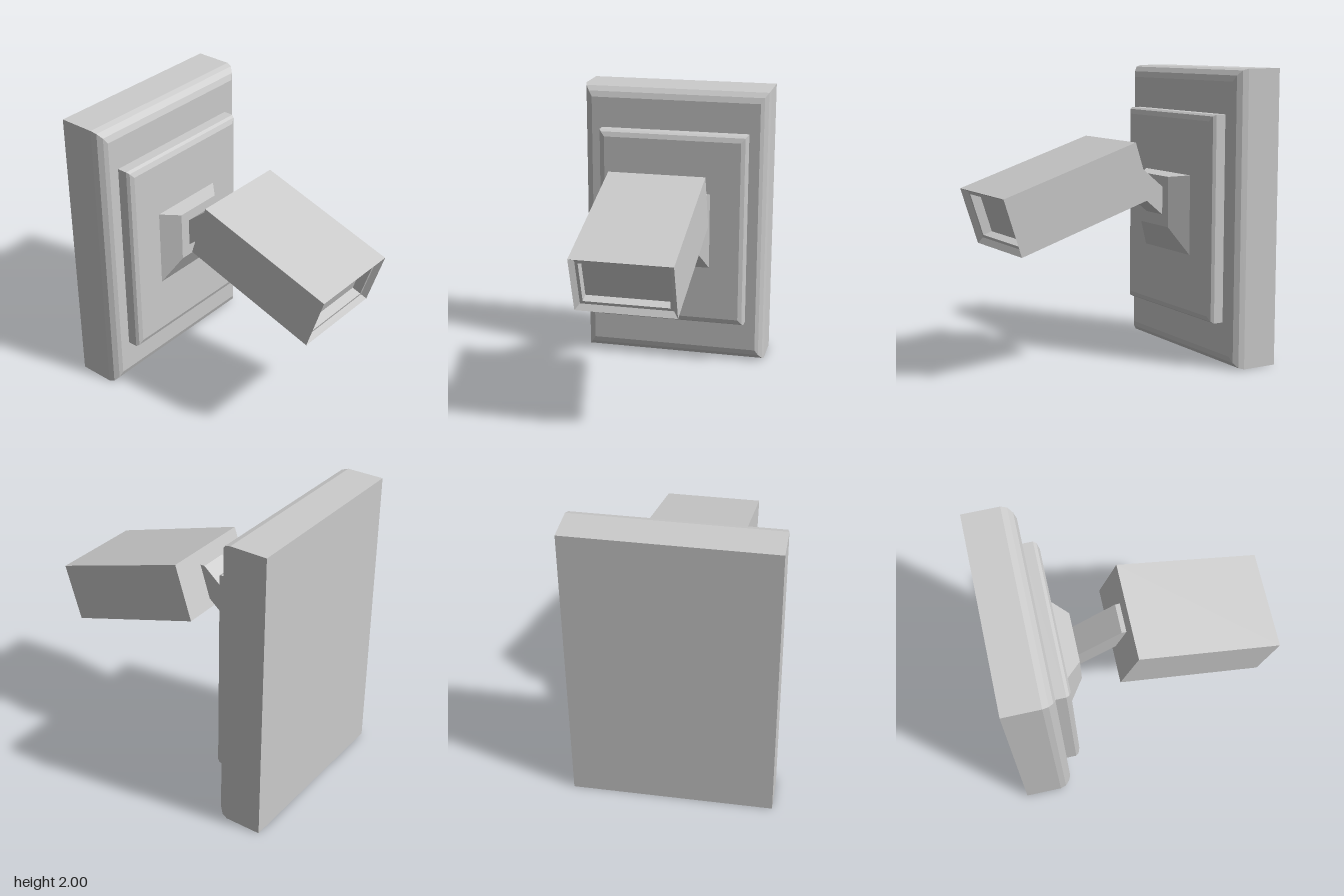
import * as THREE from 'three';

const material = new THREE.MeshStandardMaterial({ color: 0xcccccc, flatShading: true });

// Closed loft along x through rectangles given as [x, yBottom, yTop, halfDepth]
function loft(name, sections) {
  const positions = [];
  const index = [];
  const quad = (a, b, c, d) => index.push(a, b, c, a, c, d);
  for (const [x, y0, y1, z] of sections) {
    positions.push(x, y0, z, x, y0, -z, x, y1, -z, x, y1, z);
  }
  for (let i = 0; i < sections.length - 1; i++) {
    for (let k = 0; k < 4; k++) {
      const n = (k + 1) % 4;
      quad(i * 4 + k, i * 4 + n, i * 4 + 4 + n, i * 4 + 4 + k);
    }
  }
  const e = (sections.length - 1) * 4;
  quad(3, 2, 1, 0);
  quad(e, e + 1, e + 2, e + 3);
  const indexed = new THREE.BufferGeometry();
  indexed.setAttribute('position', new THREE.Float32BufferAttribute(positions, 3));
  indexed.setIndex(index);
  const geometry = indexed.toNonIndexed();
  geometry.computeVertexNormals();
  const mesh = new THREE.Mesh(geometry, material);
  mesh.name = name;
  return mesh;
}

// Rectangle sections around a centre height, from [x, yInset, zInset] steps
const inset = (centre, halfHeight, halfDepth, steps) =>
  steps.map(([x, dy, dz]) => [x, centre - halfHeight + dy, centre + halfHeight - dy, halfDepth - dz]);

export function createModel() {
  const model = new THREE.Group();
  model.name = 'wallMountedCamera';

  // Wall plate with rounded front edge
  model.add(loft('wallPlate', inset(1, 1, 0.665, [
    [-0.93, 0, 0], [-0.68, 0, 0], [-0.64, 0.012, 0.01], [-0.61, 0.045, 0.035], [-0.595, 0.085, 0.06],
  ])));

  // Raised panel with chamfered front edge
  model.add(loft('raisedPanel', inset(1.0025, 0.6975, 0.53, [
    [-0.6, 0, 0], [-0.525, 0, 0], [-0.505, 0.012, 0.012], [-0.492, 0.045, 0.04],
  ])));

  // Tapered bracket
  model.add(loft('bracket', [[-0.495, 0.73, 1.28, 0.28], [-0.385, 0.92, 1.265, 0.172]]));

  // Slanted arm, running into the back of the housing
  const profile = new THREE.Shape([
    [-0.39, 0.995], [-0.05, 1.275], [-0.05, 1.435], [-0.09, 1.435], [-0.39, 1.187],
  ].map(([x, y]) => new THREE.Vector2(x, y)));
  const armGeometry = new THREE.ExtrudeGeometry(profile, { depth: 0.2, bevelEnabled: false });
  armGeometry.translate(0, 0, -0.1);
  const arm = new THREE.Mesh(armGeometry, material);
  arm.name = 'arm';
  model.add(arm);

  // Tilted housing: bevelled rim, narrow ledge, then a sunken window
  const housing = loft('housing', inset(0, 0.197, 0.332, [
    [-0.5, 0, 0], [0.5, 0, 0], [0.465, 0.03, 0.03], [0.465, 0.05, 0.05], [0.4, 0.05, 0.05],
  ]));
  housing.position.set(0.385, 1.1825, 0);
  housing.rotation.z = -Math.atan2(0.31, 0.95);
  model.add(housing);

  return model;
}
